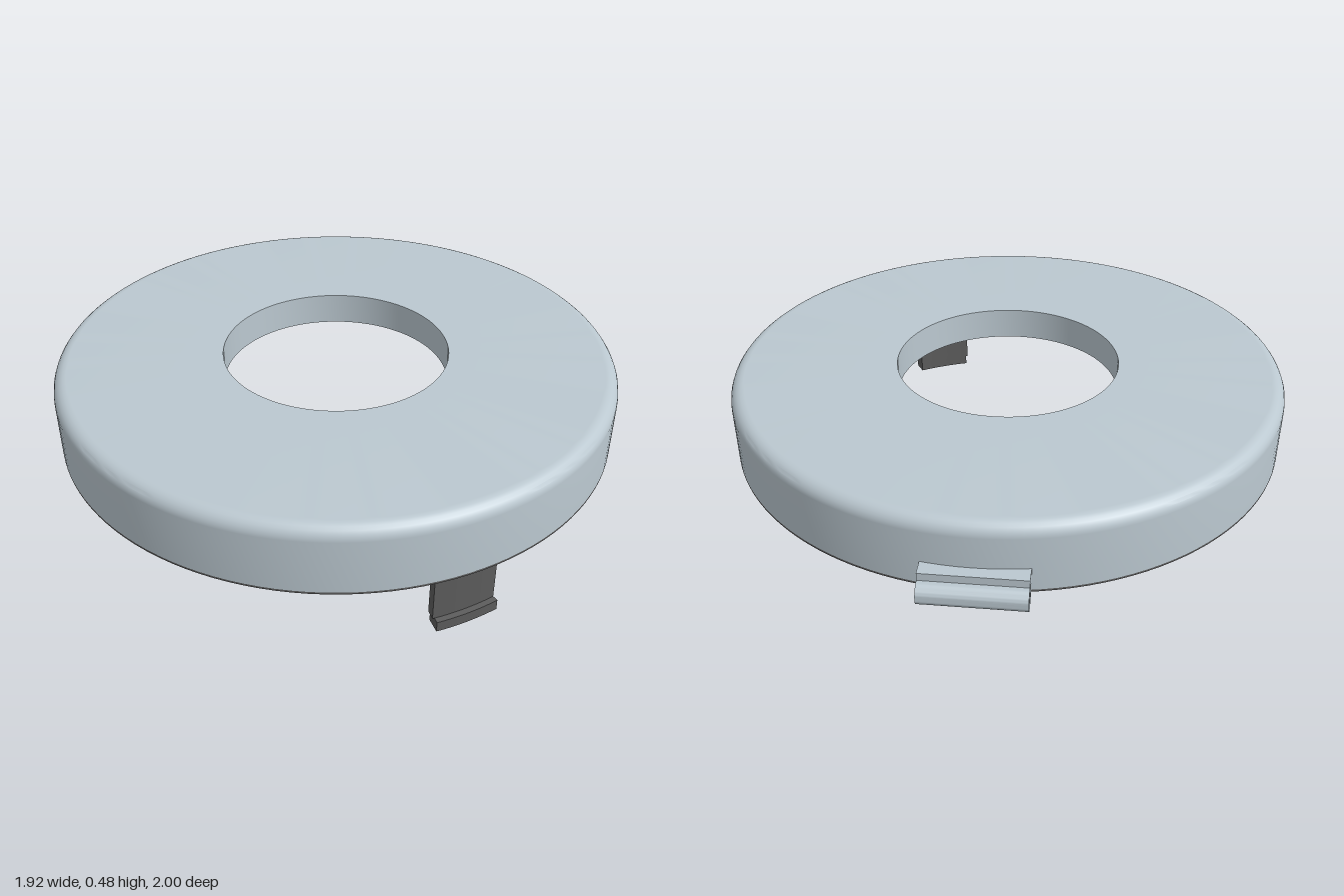
import * as THREE from 'three';
import { toCreasedNormals } from 'three/addons/utils/BufferGeometryUtils.js';

const CENTER_Z = 0.039;
const RIM_Y = 0.247;
const TOP_Y = 0.483;

export function createModel() {
  const model = new THREE.Group();
  const shellGrey = new THREE.MeshStandardMaterial({ name: 'shellGrey', color: 0xbbc8d0 });
  const darkGrey = new THREE.MeshStandardMaterial({ name: 'darkGrey', color: 0x5c5c5c });

  const add = (name, geometry, material, parent) => {
    const mesh = new THREE.Mesh(toCreasedNormals(geometry, 0.5), material);
    mesh.name = name;
    parent.add(mesh);
    return mesh;
  };
  const point = (x, y) => new THREE.Vector2(x, y);

  // Hollow ring cover: rounded outer wall, flat top, short collar round the hole
  const outer = 0.961, inner = 0.945, hole = 0.39, collar = 0.405;
  const plateY = TOP_Y - 0.023, bevel = 0.045, fillet = 0.025, seam = RIM_Y + 0.007;
  const quarter = (r, cx, cy) => Array.from({ length: 7 }, (_, i) => {
    const a = (i / 6) * Math.PI / 2;
    return point(cx + r * Math.cos(a), cy + r * Math.sin(a));
  });
  // Extra points beside each rounding keep the flat faces evenly shaded
  const profile = [
    point(outer, seam),
    point(outer, TOP_Y - bevel - 0.004),
    ...quarter(bevel, outer - bevel, TOP_Y - bevel),
    point(outer - bevel - 0.004, TOP_Y),
    point(hole, TOP_Y),
    point(hole, 0.37),
    point(collar, 0.37),
    point(collar, plateY),
    point(inner - fillet - 0.004, plateY),
    ...quarter(fillet, inner - fillet, plateY - fillet).reverse(),
    point(inner, plateY - fillet - 0.004),
    point(inner, seam)
  ];
  add('ringCover', new THREE.LatheGeometry(profile, 128), shellGrey, model).position.z = CENTER_Z;

  // Thin dark seal along the lower edge of the wall
  const sealProfile = [
    point(inner, seam), point(inner, RIM_Y), point(outer, RIM_Y), point(outer, seam)
  ];
  add('rimSeal', new THREE.LatheGeometry(sealProfile, 128), darkGrey, model).position.z = CENTER_Z;

  // Curved latch clip hanging under the front left of the cover
  const clip = new THREE.Group();
  clip.name = 'latchClip';
  clip.position.z = CENTER_Z;
  model.add(clip);
  const arcBlock = (r0, r1, startDeg, endDeg, y0, y1) => {
    const a0 = THREE.MathUtils.degToRad(startDeg - 90), a1 = THREE.MathUtils.degToRad(endDeg - 90);
    const shape = new THREE.Shape();
    shape.absarc(0, 0, r1, a0, a1, false);
    shape.absarc(0, 0, r0, a1, a0, true);
    shape.closePath();
    return new THREE.ExtrudeGeometry(shape, { depth: y1 - y0, bevelEnabled: false, curveSegments: 8 })
      .rotateX(-Math.PI / 2).translate(0, y0, 0);
  };
  add('clipArm', arcBlock(0.865, 0.897, 17.9, 31.8, 0.037, plateY), darkGrey, clip);
  add('clipHook', arcBlock(0.865, 0.917, 18.3, 31.8, 0, 0.037), darkGrey, clip);

  // Hinge at the back: pierced barrel and the block joining it to the wall
  const hinge = new THREE.Group();
  hinge.name = 'hinge';
  hinge.position.x = -0.003;
  model.add(hinge);
  const width = 0.322;
  const ring = new THREE.Shape().absarc(0, 0, 0.037, 0, Math.PI * 2, false);
  ring.holes.push(new THREE.Path().absarc(0, 0, 0.016, 0, Math.PI * 2, true));
  const barrel = new THREE.ExtrudeGeometry(ring, { depth: width, bevelEnabled: false, curveSegments: 24 })
    .translate(0, 0, -width / 2).rotateY(Math.PI / 2);
  add('hingeBarrel', barrel, shellGrey, hinge).position.set(0, 0.27, -0.963);
  const block = new THREE.BoxGeometry(width, 0.045, 0.058);
  add('hingeBlock', block, shellGrey, hinge).position.set(0, 0.31, -0.932);

  return model;
}
